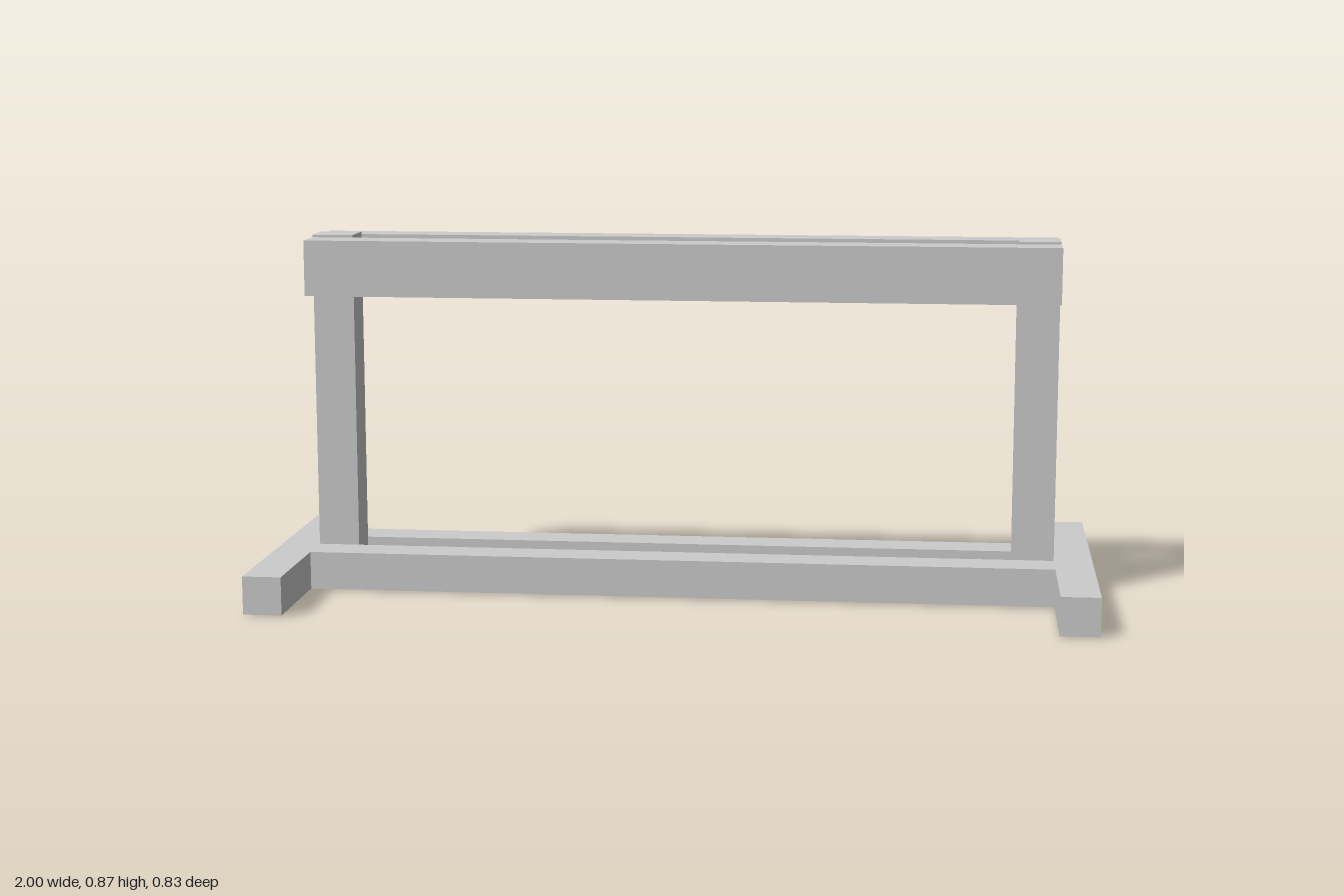
import * as THREE from 'three';

const material = new THREE.MeshStandardMaterial({ color: 0xcccccc, flatShading: true });

// Square-cut timber given by its extents along each axis
function beam(name, [x0, x1], [y0, y1], [z0, z1]) {
  const mesh = new THREE.Mesh(new THREE.BoxGeometry(x1 - x0, y1 - y0, z1 - z0), material);
  mesh.name = name;
  mesh.position.set((x0 + x1) / 2, (y0 + y1) / 2, (z0 + z1) / 2);
  return mesh;
}

// Extents mirrored to the chosen side
const mirror = (side, a, b) => (side > 0 ? [a, b] : [-b, -a]);

export function createModel() {
  const group = new THREE.Group();
  group.name = 'trestleFrame';

  // End frames: a post standing against a cross foot
  for (const [side, label] of [[1, 'left'], [-1, 'right']]) {
    group.add(beam(label + 'Post', mirror(side, 0.807, 0.907), [0, 0.868], [-0.047, 0.047]));
    group.add(beam(label + 'Foot', mirror(side, 0.907, 1), [0.003, 0.095], [-0.415, 0.415]));
  }

  // Long rails clamping the posts at top and bottom
  for (const [side, label] of [[1, 'front'], [-1, 'back']]) {
    group.add(beam(label + 'TopRail', [-0.907, 0.907], [0.727, 0.862], mirror(side, 0.047, 0.133)));
    group.add(beam(label + 'BottomRail', [-0.907, 0.907], [0.003, 0.095], mirror(side, 0.047, 0.141)));
  }

  return group;
}
